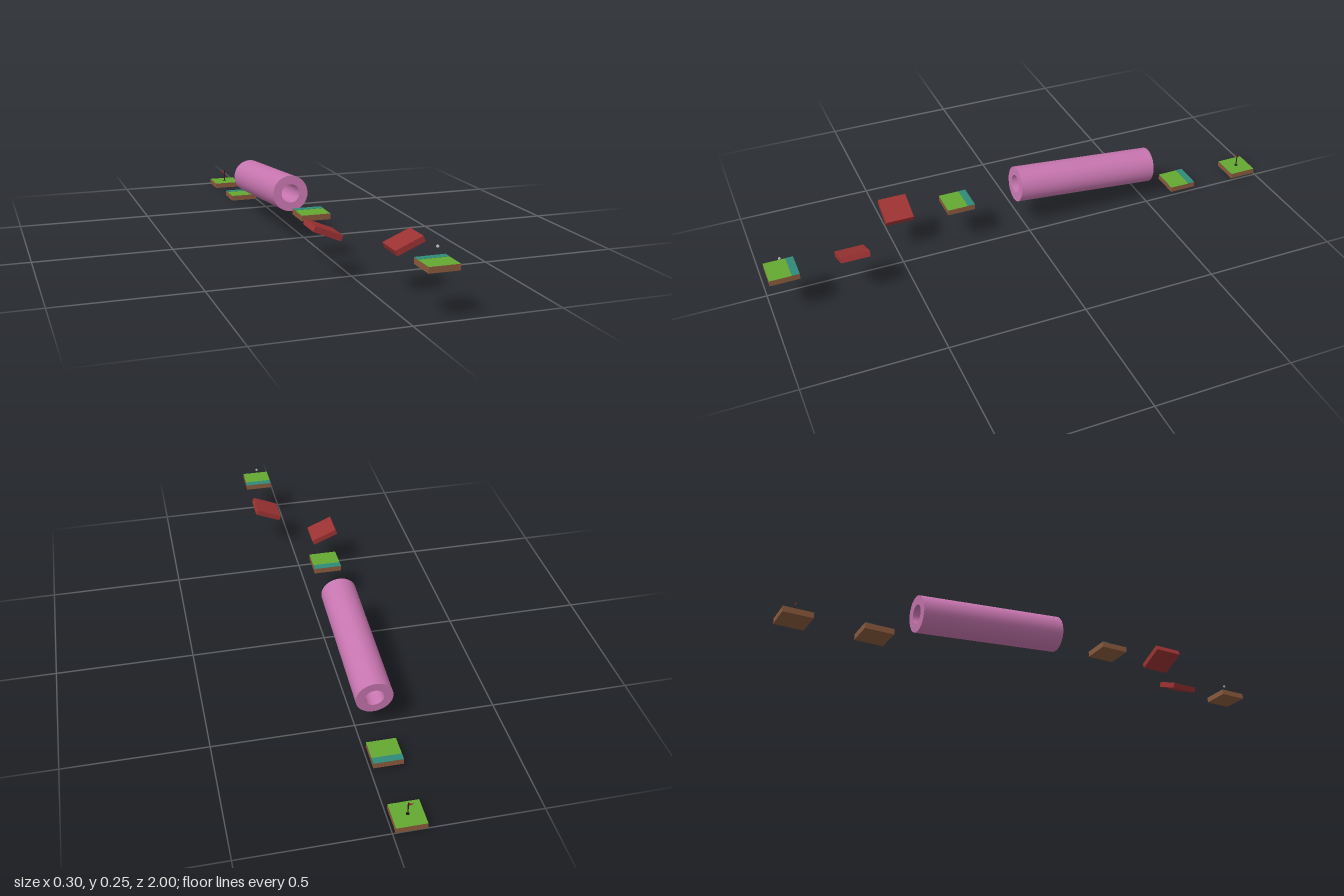
import * as THREE from 'three';

const mat = (name, color) => {
  const m = new THREE.MeshStandardMaterial({ color });
  m.name = name;
  return m;
};

export function createModel() {
  const model = new THREE.Group();
  model.name = 'miniGolfCourse';

  const grass = mat('grassGreen', 0x64a832);
  const soil = mat('soilBrown', 0x8a5a3c);
  const teal = mat('tealStrip', 0x2f8a78);
  const red = mat('rampRed', 0x9c3232);
  const pink = mat('tunnelPink', 0xc876b0);
  const dark = mat('poleDark', 0x3a2018);
  const black = mat('holeBlack', 0x101010);
  const white = mat('ballGrey', 0xb4b4b8);
  const flagMat = mat('flagRed', 0xa83030);
  flagMat.side = THREE.DoubleSide;

  const add = (name, geo, material, x, y, z, parent = model) => {
    const mesh = new THREE.Mesh(geo, material);
    mesh.name = name;
    mesh.position.set(x, y, z);
    parent.add(mesh);
    return mesh;
  };

  const S = 0.104, T = 0.0205, STRIP = 0.027;
  const slab = new THREE.BoxGeometry(S, T, S);

  // Grass platforms: brown block, green top, optional teal strip at the back edge
  const platforms = [
    ['startPlatform', 0.097, 0.1655, 0.948, true],
    ['tunnelEntryPlatform', -0.061, 0.162, 0.265, true],
    ['tunnelExitPlatform', -0.062, 0.0172, -0.669, true],
    ['holePlatform', -0.0625, 0.01025, -0.948, false],
  ];
  for (const [name, x, y, z, hasStrip] of platforms) {
    const g = new THREE.Group();
    g.name = name;
    g.position.set(x, y, z);
    model.add(g);
    add('block', slab, [soil, soil, grass, soil, soil, soil], 0, 0, 0, g);
    if (hasStrip) add('edgeStrip', new THREE.BoxGeometry(S, 0.001, STRIP), teal, 0, T / 2 + 0.0003, (STRIP - S) / 2, g);
  }

  // Banked red ramps, mirrored tilt
  for (const [name, side, z] of [['leftRamp', 1, 0.703], ['rightRamp', -1, 0.488]]) {
    add(name, slab, red, side * 0.097, 0.166, z).rotation.z = side * 0.4;
  }

  // Sloping tunnel: thick open pipe
  const L = 0.554, R = 0.066, r = 0.034, N = 32;
  const tunnel = new THREE.Group();
  tunnel.name = 'tunnel';
  tunnel.position.set(-0.062, 0.157, -0.244);
  tunnel.rotation.x = Math.PI / 2 - 0.091;
  model.add(tunnel);
  add('outerWall', new THREE.CylinderGeometry(R, R, L, N, 1, true), pink, 0, 0, 0, tunnel);
  const inner = new THREE.CylinderGeometry(r, r, L, N, 1, true);
  inner.scale(-1, 1, 1);
  // The mirrored wall faces inward; flip its normals to agree
  const n = inner.attributes.normal;
  for (let i = 0; i < n.count; i++) {
    n.setXYZ(i, -inner.attributes.position.getX(i) / r, 0, -inner.attributes.position.getZ(i) / r);
  }
  add('innerWall', inner, pink, 0, 0, 0, tunnel);
  for (const s of [1, -1]) {
    add(s > 0 ? 'frontRim' : 'backRim', new THREE.RingGeometry(r, R, N), pink, 0, s * L / 2, 0, tunnel)
      .rotation.x = -s * Math.PI / 2;
  }

  // Ball above the start
  add('ball', new THREE.SphereGeometry(0.005, 16, 12), white, 0.097, 0.219, 0.948);

  // Hole, pole and pennant at the finish
  const top = 0.0205, hx = -0.0625, hz = -0.948;
  add('hole', new THREE.CylinderGeometry(0.006, 0.006, 0.001, 20), black, hx, top + 0.0004, hz);
  add('flagPole', new THREE.CylinderGeometry(0.002, 0.002, 0.048, 10), dark, hx, top + 0.024, hz);
  const pennant = new THREE.Shape([
    new THREE.Vector2(0, 0.0075), new THREE.Vector2(-0.018, 0), new THREE.Vector2(0, -0.0075),
  ]);
  add('flag', new THREE.ShapeGeometry(pennant), flagMat, hx, 0.061, hz);

  return model;
}
